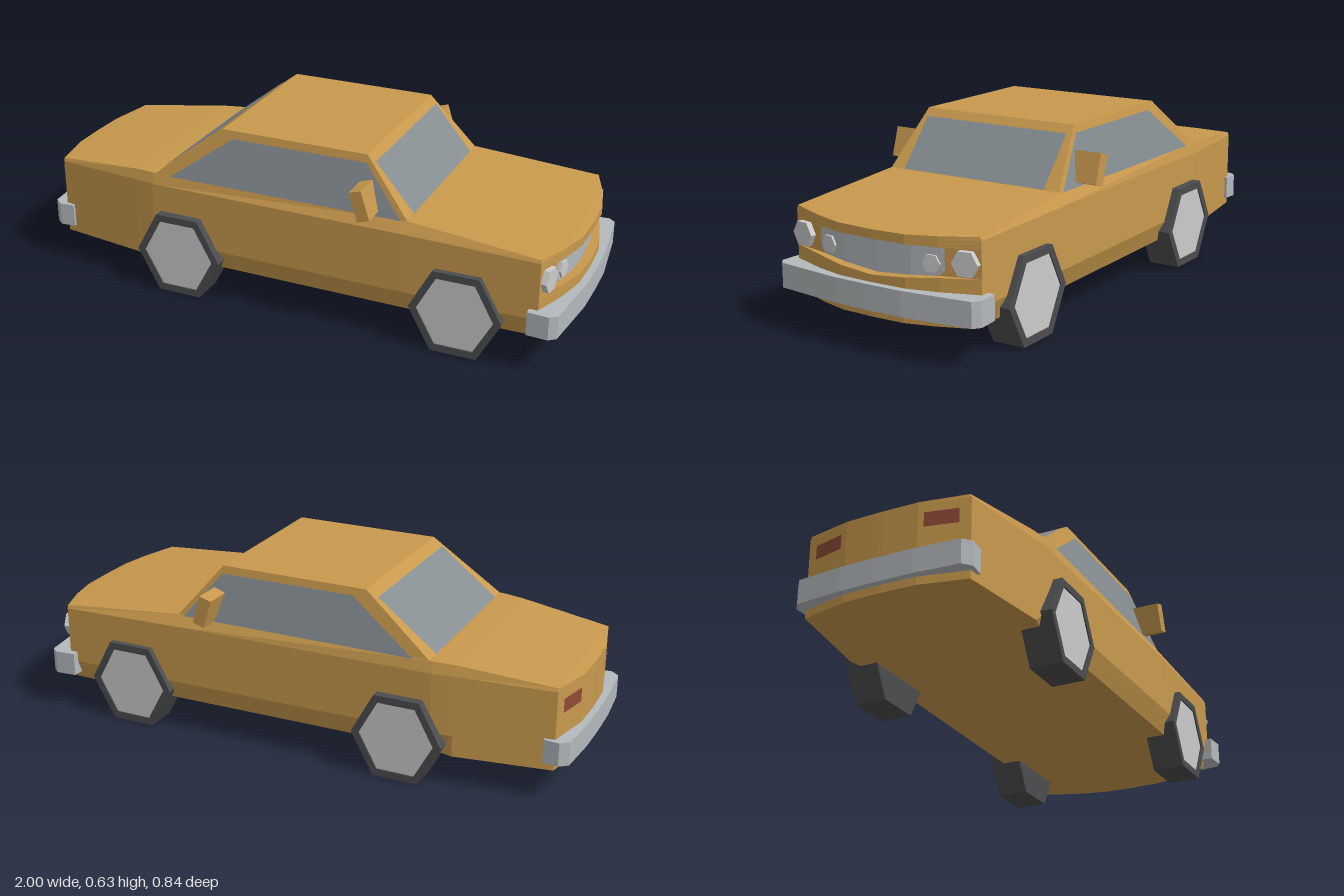
import * as THREE from 'three';
import { ConvexGeometry } from 'three/addons/geometries/ConvexGeometry.js';

const mat = (color) => new THREE.MeshStandardMaterial({ color, flatShading: true, side: THREE.DoubleSide });

// Faces from a point list and quads given as corner indices
function quads(points, faces) {
  const flat = [];
  for (const [a, b, c, d] of faces) {
    for (const i of [a, b, c, a, c, d]) flat.push(...points[i]);
  }
  const g = new THREE.BufferGeometry();
  g.setAttribute('position', new THREE.Float32BufferAttribute(flat, 3));
  g.computeVertexNormals();
  return g;
}

// Closed solid from stacked half outlines [x, y, z], each mirrored across z = 0
function stack(halves) {
  const n = halves[0].length, m = 2 * n, pts = [], faces = [];
  for (const half of halves) {
    pts.push(...half, ...half.map(([x, y, z]) => [x, y, -z]).reverse());
  }
  for (let r = 0; r < halves.length - 1; r++) {
    for (let i = 0; i < m; i++) {
      const j = (i + 1) % m;
      faces.push([r * m + i, r * m + j, r * m + m + j, r * m + m + i]);
    }
  }
  const top = (halves.length - 1) * m;
  for (let i = 0; i < n - 1; i++) {
    faces.push([top + i, top + i + 1, top + m - 2 - i, top + m - 1 - i]);
    faces.push([i, m - 1 - i, m - 2 - i, i + 1]);
  }
  return quads(pts, faces);
}

const hexPoints = (r) => Array.from({ length: 6 }, (_, i) => {
  const a = i * Math.PI / 3;
  return new THREE.Vector2(r * Math.cos(a), r * 1.06 * Math.sin(a));
});

function hexPrism(r, depth, hole) {
  const s = new THREE.Shape(hexPoints(r));
  if (hole) s.holes.push(new THREE.Path(hexPoints(hole)));
  return new THREE.ExtrudeGeometry(s, { depth, bevelEnabled: false });
}

export function createModel() {
  const group = new THREE.Group();
  const paint = mat(0xc8994d), glass = mat(0x868e92), chrome = mat(0xb4b9bc);
  const rubber = mat(0x4c4d4f), lamp = mat(0xcccccc), red = mat(0x8f4a36);
  const add = (name, geometry, material, parent = group) => {
    const mesh = new THREE.Mesh(geometry, material);
    mesh.name = name;
    parent.add(mesh);
    return mesh;
  };

  // Lower body: x, z, top height, top z, grille lip height
  const plan = [
    [-0.977, 0.01, 0.395, 0.01, 0.265], [-0.973, 0.13, 0.396, 0.13, 0.265],
    [-0.935, 0.295, 0.402, 0.29, 0.265], [-0.6, 0.345, 0.437, 0.335, 0.265],
    [-0.525, 0.355, 0.44, 0.345, 0.265], [0.44, 0.368, 0.44, 0.345, 0.27],
    [0.9, 0.365, 0.402, 0.36, 0.27], [0.945, 0.24, 0.397, 0.24, 0.267],
    [0.972, 0.13, 0.393, 0.13, 0.257], [0.976, 0.01, 0.392, 0.01, 0.247],
  ];
  const inset = (x) => (x > 0.9 ? 0.9 + (x - 0.9) * 0.5 : x);
  add('body', stack([
    plan.map(([x, z]) => [x, 0.11, x < -0.55 ? z : z * 0.92]),
    plan.map(([x, z]) => [x, 0.185, z]),
    plan.map(([x, z, , , lip]) => [x, lip, z]),
    plan.map(([x, z, , , lip]) => [inset(x), lip, z]),
    plan.map(([x, z]) => [inset(x), 0.362, z]),
    plan.map(([x, z]) => [x, 0.362, z]),
    plan.map(([x, z, y]) => [x, Math.min(0.4, y - 0.012), z]),
    plan.map(([x, , y, tz]) => [x, y, tz]),
  ]), paint);

  // Cabin
  const corners = [];
  for (const s of [-1, 1]) {
    for (const [x, y, z] of [[-0.525, 0.43, 0.347], [0.445, 0.43, 0.347], [-0.265, 0.632, 0.3], [0.275, 0.632, 0.3]]) {
      corners.push(new THREE.Vector3(x, y, z * s));
    }
  }
  add('cabin', new ConvexGeometry(corners), paint);

  // Windows lie just proud of the cabin faces
  const pane = (name, pts) => add(name, quads(pts, [[0, 1, 2, 3]]), glass);
  const endPane = (name, x0, x1, w) => pane(name, [
    [x0, 0.442, w], [x0, 0.442, -w], [x1, 0.606, -w], [x1, 0.606, w]]);
  endPane('windshield', 0.438, 0.3, 0.287);
  endPane('rearWindow', -0.514, -0.303, 0.287);
  for (const s of [1, -1]) {
    const side = (x, y) => [x, y, s * (0.35 - (y - 0.43) * 0.233)];
    const p = [side(-0.455, 0.437), side(0.415, 0.437), side(0.275, 0.606), side(-0.22, 0.606)];
    pane(s > 0 ? 'leftWindow' : 'rightWindow', s > 0 ? p : p.reverse());
  }

  // Bumpers wrap around both ends
  const bumper = (name, half) => add(name, stack([0.138, 0.222].map((y) => half.map(([x, z]) => [x, y, z]))), chrome);
  bumper('frontBumper', [[0.87, 0.01], [0.87, 0.39], [0.945, 0.395], [0.97, 0.375], [0.998, 0.13], [1, 0.01]]);
  bumper('rearBumper', [[-1, 0.01], [-0.998, 0.13], [-0.985, 0.29], [-0.955, 0.315], [-0.9, 0.31], [-0.9, 0.01]]);

  // Grille follows the bend of the recessed nose
  const half = [[0.245, 0.923, 0.285], [0.23, 0.926, 0.268], [0.13, 0.941, 0.258], [0, 0.943, 0.247]];
  const cols = [...half, ...half.slice(0, 3).reverse().map(([z, x, y]) => [-z, x, y])];
  const pts = cols.flatMap(([z, x, y]) => [[x, y, z], [x, 0.357, z]]);
  add('grille', quads(pts, cols.slice(1).map((_, i) => [2 * i, 2 * i + 2, 2 * i + 3, 2 * i + 1])), chrome);

  // Lamps and mirrors on both sides
  for (const s of [1, -1]) {
    const hexLamp = (name, r, x, y, z) => {
      const m = add(name, new THREE.CylinderGeometry(r, r, 0.035, 6).rotateZ(-Math.PI / 2), lamp);
      m.position.set(x, y, z * s);
      m.rotation.y = -s * 0.16;
    };
    hexLamp('headlight', 0.045, 0.911, 0.317, 0.318);
    hexLamp('innerLamp', 0.031, 0.92, 0.304, 0.2);

    const tail = (z, y) => [-0.977 + (z - 0.13) * 0.23, y, z * s];
    const t = [tail(0.15, 0.305), tail(0.26, 0.305), tail(0.26, 0.355), tail(0.15, 0.355)];
    add('tailLight', quads(s > 0 ? t : t.reverse(), [[0, 1, 2, 3]]), red);

    const mirror = add('sideMirror', new THREE.BoxGeometry(0.045, 0.106, 0.1), paint);
    mirror.position.set(0.296, 0.498, s * 0.372);
    mirror.rotation.z = 0.3;
  }

  // Six-sided wheels with a raised tyre edge around the hub
  for (const x of [-0.415, 0.625]) {
    for (const s of [1, -1]) {
      const wheel = new THREE.Group();
      wheel.name = 'wheel';
      add('tyre', hexPrism(0.163, 0.11), rubber, wheel).position.z = 0.27;
      add('tyreEdge', hexPrism(0.163, 0.008, 0.135), rubber, wheel).position.z = 0.38;
      add('hub', hexPrism(0.135, 0.003), lamp, wheel).position.z = 0.38;
      wheel.position.set(x, 0.15, 0);
      if (s < 0) wheel.rotation.y = Math.PI;
      group.add(wheel);
    }
  }
  return group;
}
